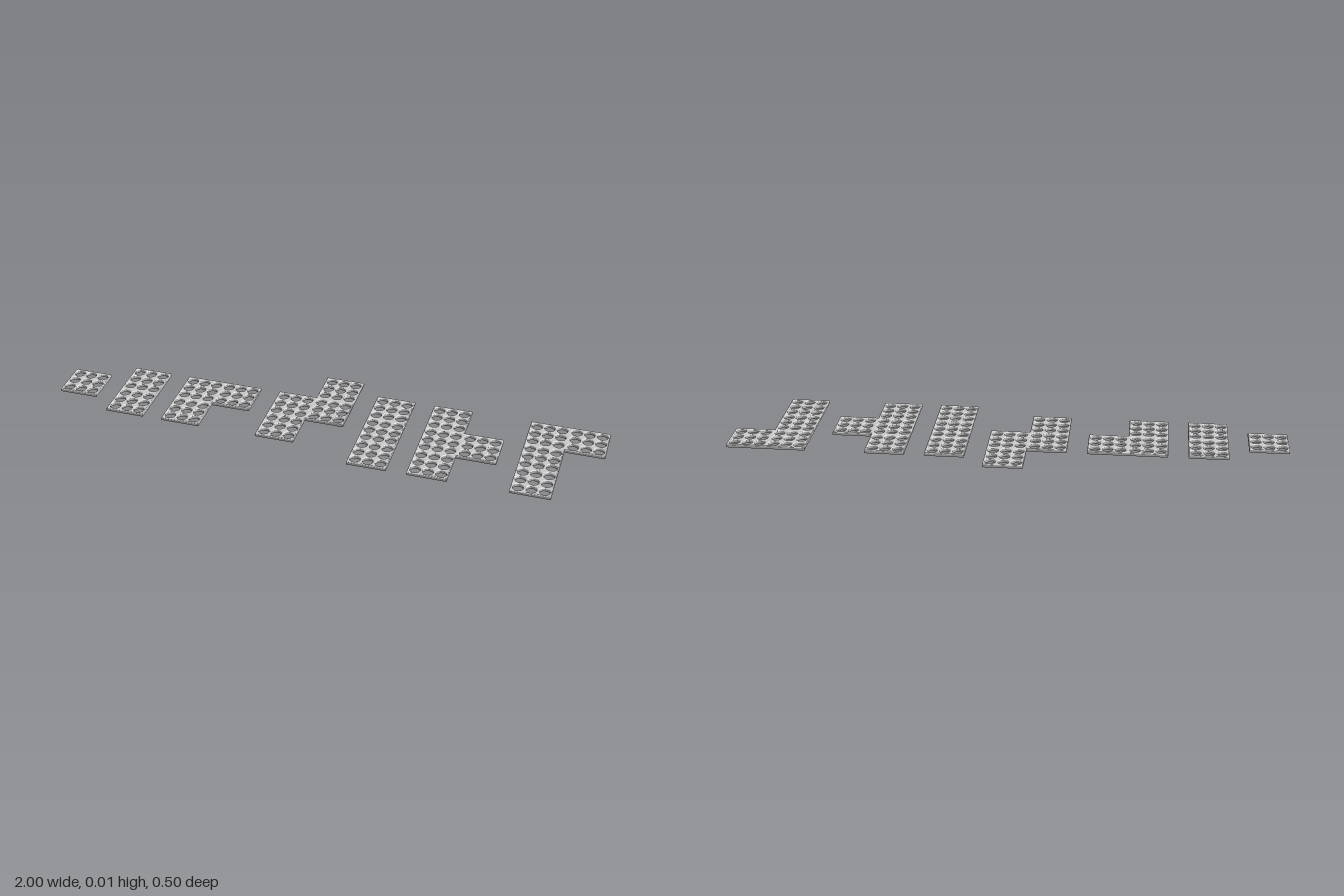
import * as THREE from 'three';
import { toCreasedNormals } from 'three/addons/utils/BufferGeometryUtils.js';

const CELL = 1 / 7;            // side of one square unit
const THICK = 0.0143;
const BEVEL = 0.0035, BEVEL_H = 0.005;
const HOLE_R = 0.0185, HOLE_PITCH = 0.0458;

// Each tile: name, corner position in cells, its outline and its squares (x, z in cells)
const TILES = [
  ['singleTile', -7, -0.25, [[0, 0], [1, 0], [1, 1], [0, 1]], [[0, 0]]],
  ['doubleTile', -5.5, -0.75, [[0, 0], [1, 0], [1, 2], [0, 2]], [[0, 0], [0, 1]]],
  ['cornerTile', -4, -0.75, [[0, 0], [2, 0], [2, 1], [1, 1], [1, 2], [0, 2]],
    [[0, 0], [1, 0], [0, 1]]],
  ['zigzagTile', -1.5, -1.75, [[1, 0], [2, 0], [2, 2], [1, 2], [1, 3], [0, 3], [0, 1], [1, 1]],
    [[1, 0], [1, 1], [0, 1], [0, 2]]],
  ['straightTile', 1, -1.25, [[0, 0], [1, 0], [1, 3], [0, 3]], [[0, 0], [0, 1], [0, 2]]],
  ['teeTile', 2.5, -1.25, [[0, 0], [1, 0], [1, 1], [2, 1], [2, 2], [1, 2], [1, 3], [0, 3]],
    [[0, 0], [0, 1], [0, 2], [1, 1]]],
  ['hookTile', 5, -1.25, [[0, 0], [2, 0], [2, 1], [1, 1], [1, 3], [0, 3]],
    [[0, 0], [0, 1], [0, 2], [1, 0]]],
];

// Perforated plate with softened edges, lying flat on y = 0
function tileGeometry(outline, squares) {
  const shape = new THREE.Shape(outline.map(([x, z]) => new THREE.Vector2(x * CELL, z * CELL)));
  for (const [cx, cz] of squares) {
    for (let i = -1; i <= 1; i++) {
      for (let j = -1; j <= 1; j++) {
        const hole = new THREE.Path();
        hole.absarc((cx + 0.5) * CELL + i * HOLE_PITCH, (cz + 0.5) * CELL + j * HOLE_PITCH,
          HOLE_R, 0, Math.PI * 2, true);
        shape.holes.push(hole);
      }
    }
  }
  const geometry = new THREE.ExtrudeGeometry(shape, {
    depth: THICK - 2 * BEVEL_H, curveSegments: 8,
    bevelEnabled: true, bevelThickness: BEVEL_H, bevelSize: BEVEL, bevelOffset: -BEVEL, bevelSegments: 3,
  });
  geometry.rotateX(Math.PI / 2);
  geometry.translate(0, THICK - BEVEL_H, 0);
  return toCreasedNormals(geometry, 0.8);
}

export function createModel() {
  const model = new THREE.Group();
  model.name = 'perforatedTileSet';
  const material = new THREE.MeshStandardMaterial({ color: 0xcccccc });
  for (const [name, x, z, outline, squares] of TILES) {
    const tile = new THREE.Mesh(tileGeometry(outline, squares), material);
    tile.name = name;
    tile.position.set(x * CELL, 0, z * CELL);
    model.add(tile);
  }
  return model;
}
